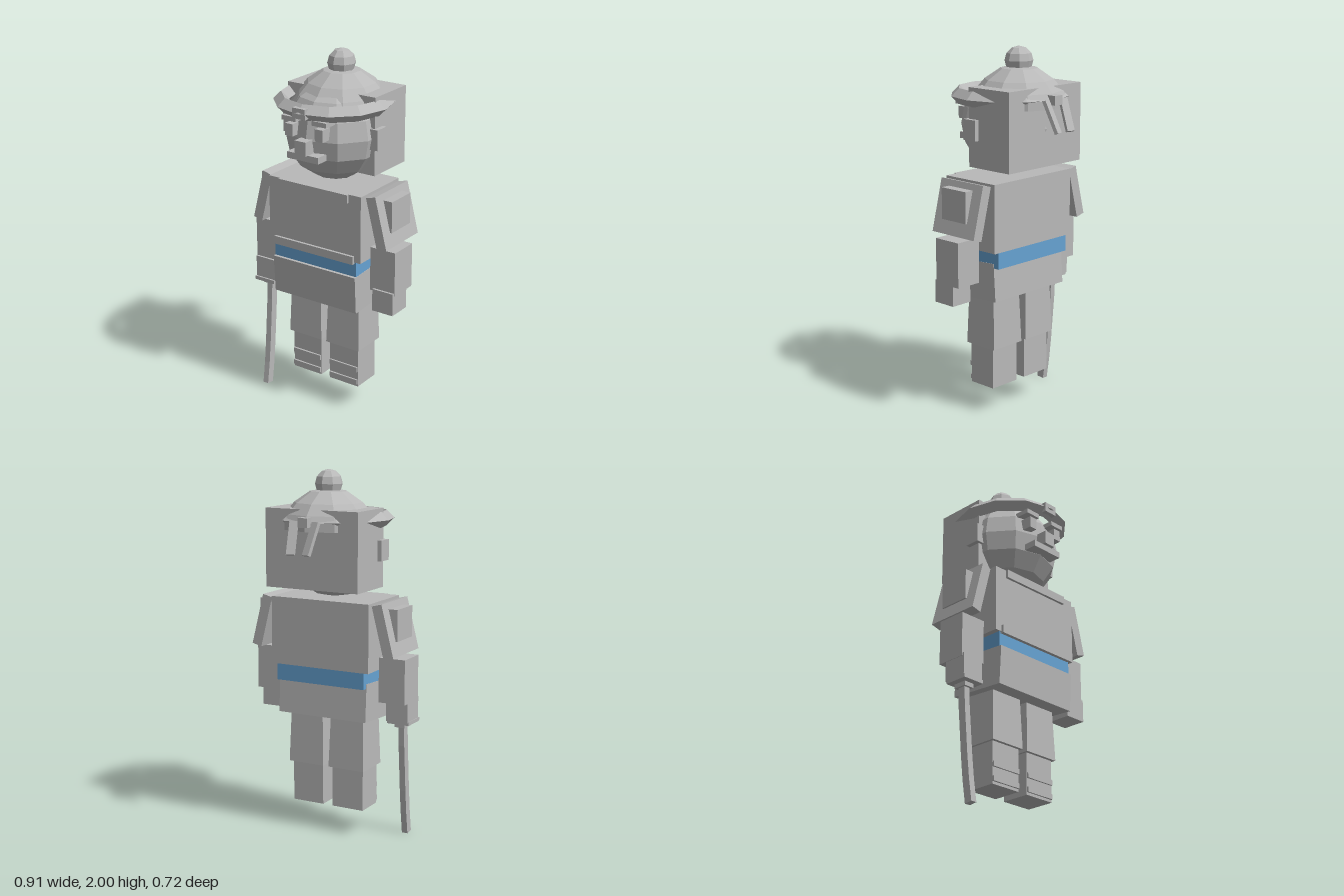
import * as THREE from 'three';

export function createModel() {
  const model = new THREE.Group();
  const grey = new THREE.MeshStandardMaterial({ color: 0xb8b8b8, flatShading: true });
  grey.name = 'grey';
  const blue = new THREE.MeshStandardMaterial({ color: 0x66a2d2, flatShading: true });
  blue.name = 'blue';

  const add = (name, geometry, material = grey) => {
    const mesh = new THREE.Mesh(geometry, material);
    mesh.name = name;
    model.add(mesh);
    return mesh;
  };
  // Box given by its lower and upper limits on each axis
  const box = (name, x0, x1, y0, y1, z0, z1, material) => {
    const mesh = add(name, new THREE.BoxGeometry(x1 - x0, y1 - y0, z1 - z0), material);
    mesh.position.set((x0 + x1) / 2, (y0 + y1) / 2, (z0 + z1) / 2);
    return mesh;
  };
  // The same box on the left (+x) and the right (-x)
  const pair = (name, x0, x1, ...rest) => {
    box('left' + name, x0, x1, ...rest);
    box('right' + name, -x1, -x0, ...rest);
  };

  // Head and hair
  const head = add('head', new THREE.SphereGeometry(1, 10, 8).rotateY(Math.PI / 2));
  head.scale.set(0.278, 0.265, 0.258);
  head.position.set(0, 1.58, 0.035);
  box('hairBlock', -0.275, 0.275, 1.38, 1.8, -0.22, 0.07);
  pair('Ear', 0.25, 0.3, 1.525, 1.635, 0, 0.085);

  // Face
  pair('Eye', 0.07, 0.118, 1.595, 1.66, 0.22, 0.31);
  pair('Brow', 0.05, 0.14, 1.675, 1.7, 0.22, 0.31);
  box('nose', -0.035, 0.035, 1.515, 1.59, 0.25, 0.342);
  box('moustache', -0.098, 0.098, 1.48, 1.515, 0.25, 0.322);

  // Cap
  const capProfile = [[0.253, 1.69], [0.253, 1.735], [0.234, 1.77], [0.185, 1.827], [0.1, 1.885], [0, 1.9]]
    .map(([r, y]) => new THREE.Vector2(r, y));
  add('capDome', new THREE.LatheGeometry(capProfile, 10)).position.z = -0.03;
  add('capBrim', new THREE.TorusGeometry(0.277, 0.042, 4, 12).rotateX(Math.PI / 2))
    .position.set(0, 1.738, 0.04);
  add('capKnob', new THREE.SphereGeometry(0.076, 8, 6)).position.set(0, 1.924, -0.028);
  box('capOrnament', -0.04, 0.04, 1.71, 1.765, 0.3, 0.352);

  // Knot and ribbon tails behind the cap
  box('capKnot', -0.028, 0.028, 1.715, 1.765, -0.31, -0.25);
  for (const side of [1, -1]) {
    const tail = add(side > 0 ? 'leftTail' : 'rightTail', new THREE.BoxGeometry(0.044, 0.18, 0.02));
    tail.rotation.set(0.42, side * 0.26, 0, 'YXZ');
    tail.position.set(side * 0.056, 1.66, -0.315);
  }

  // Torso, belt and skirt
  box('torso', -0.295, 0.295, 0.945, 1.315, -0.135, 0.225);
  box('collar', -0.22, 0.22, 1.27, 1.315, 0.22, 0.24);
  box('waistTrim', -0.255, 0.255, 0.935, 0.98, 0.22, 0.24);
  box('belt', -0.265, 0.265, 0.855, 0.945, -0.132, 0.22, blue);
  box('skirt', -0.267, 0.267, 0.66, 0.87, -0.105, 0.23).rotation.x = 0.06;

  // Arms
  for (const side of [1, -1]) {
    const sleeve = add(side > 0 ? 'leftSleeve' : 'rightSleeve', new THREE.BoxGeometry(0.058, 0.288, 0.31));
    sleeve.rotation.z = side * 0.25;
    sleeve.position.set(side * 0.368, 1.172, 0.037);
  }
  pair('ShoulderPlate', 0.36, 0.422, 1.115, 1.285, -0.05, 0.127);
  pair('Forearm', 0.302, 0.455, 0.77, 1.015, -0.025, 0.142);
  pair('Hand', 0.325, 0.452, 0.66, 0.785, 0.02, 0.155);

  // Legs: thighs widen toward the knee
  for (const side of [1, -1]) {
    const thighShape = new THREE.BoxGeometry(0.215, 0.34, 0.207);
    const p = thighShape.attributes.position;
    for (let i = 0; i < p.count; i++) {
      if (p.getY(i) > 0) p.setXYZ(i, p.getX(i) * 0.9, p.getY(i), p.getZ(i) * 0.88);
    }
    add(side > 0 ? 'leftThigh' : 'rightThigh', thighShape).position.set(side * 0.124, 0.55, 0.04);
  }
  pair('Shin', 0.03, 0.217, 0.15, 0.385, -0.04, 0.125);
  pair('UpperBand', 0.032, 0.215, 0.242, 0.27, 0.12, 0.135);
  pair('LowerBand', 0.032, 0.215, 0.165, 0.193, 0.12, 0.135);

  // Curved sword held in the right hand
  box('swordGuard', -0.455, -0.325, 0.645, 0.665, 0.03, 0.165);
  box('swordCollar', -0.42, -0.36, 0.622, 0.647, 0.055, 0.13);
  const front = [[0.115, 0.65], [0.121, 0.52], [0.132, 0.39], [0.143, 0.26], [0.157, 0.13], [0.176, 0.005]];
  const back = front.map(([z, y]) => [z - 0.045, y - 0.005]).reverse();
  const outline = new THREE.Shape([...front, ...back].map(([z, y]) => new THREE.Vector2(z, y)));
  const blade = new THREE.ExtrudeGeometry(outline, { depth: 0.034, bevelEnabled: false });
  add('swordBlade', blade.rotateY(-Math.PI / 2)).position.x = -0.375;

  return model;
}
